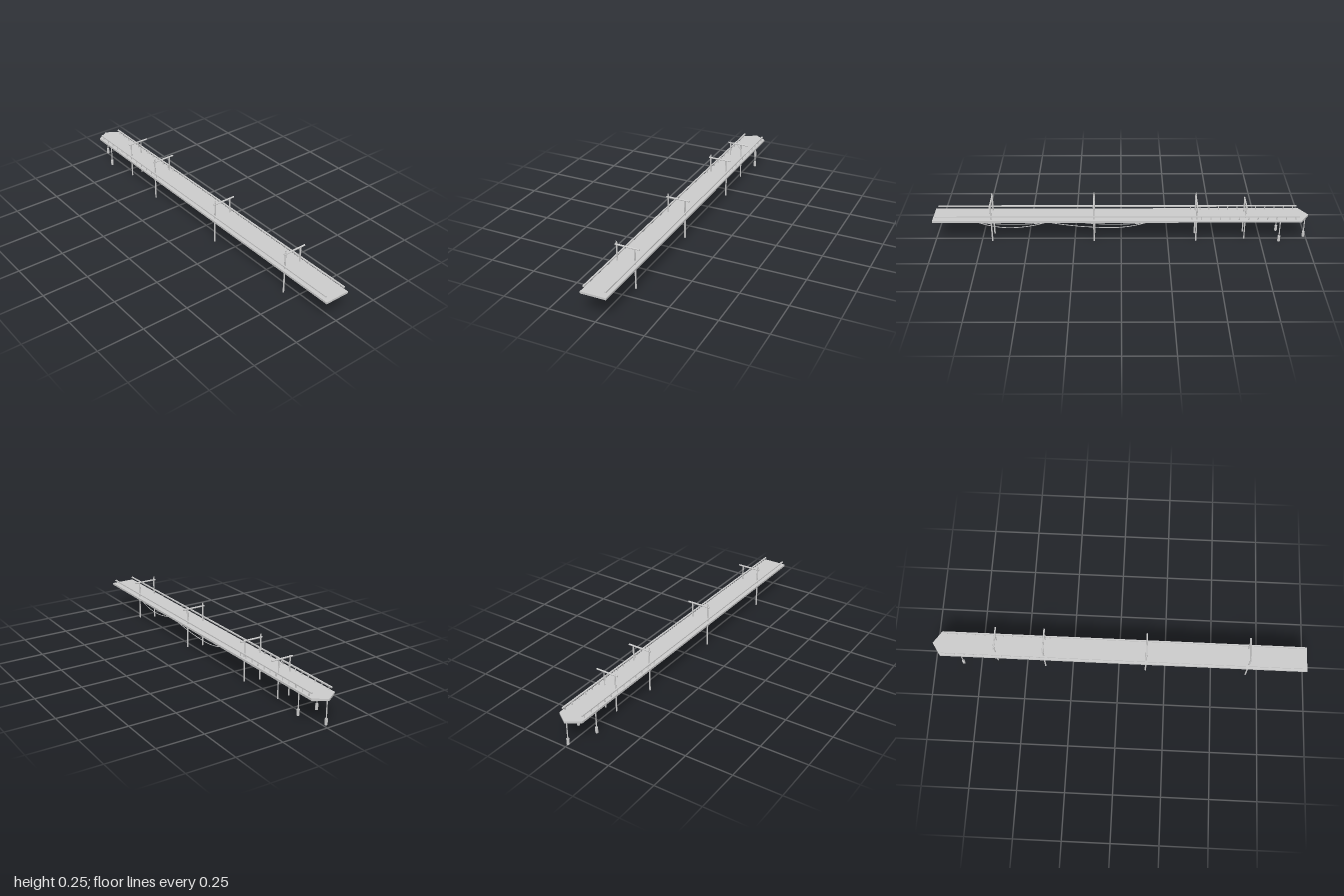
import * as THREE from 'three';

const grey = new THREE.MeshStandardMaterial({ color: 0xcccccc, flatShading: true });
const smooth = new THREE.MeshStandardMaterial({ color: 0xcccccc });
const CX = -0.005; // centre line of the deck

export function createModel() {
  const root = new THREE.Group();
  const V = (x, y, z) => new THREE.Vector3(x, y, z);

  function add(parent, name, geometry, material = grey) {
    const mesh = new THREE.Mesh(geometry, material);
    mesh.name = name;
    parent.add(mesh);
    return mesh;
  }

  // Round pole running between two points
  function pole(parent, name, a, b, r, sides = 10) {
    const mesh = add(parent, name, new THREE.CylinderGeometry(r, r, a.distanceTo(b), sides));
    mesh.position.copy(a).lerp(b, 0.5);
    mesh.quaternion.setFromUnitVectors(V(0, 1, 0), b.clone().sub(a).normalize());
    return mesh;
  }

  // Deck slab with a pointed far end
  const outline = new THREE.Shape([
    [-0.073, -1], [0.062, -1], [0.062, 0.955], [CX, 1], [-0.073, 0.955],
  ].map(([x, y]) => new THREE.Vector2(x, y)));
  const deck = new THREE.ExtrudeGeometry(outline, { depth: 0.011, bevelEnabled: false });
  deck.rotateX(-Math.PI / 2).translate(0, 0.134, 0);
  add(root, 'deck', deck);

  // Handrails with short posts towards the pointed end
  for (const x of [-0.063, 0.051]) {
    const railing = new THREE.Group();
    railing.name = 'railing';
    root.add(railing);
    const rail = add(railing, 'handrail', new THREE.BoxGeometry(0.008, 0.006, 1.93));
    rail.position.set(x, 0.165, 0.02);
    for (let i = 0; i < 12; i++) {
      const z = -0.375 - i * 0.05;
      pole(railing, 'railPost', V(x, 0.14, z), V(x, 0.164, z), 0.0028, 8);
    }
  }

  // Tall frames: the right-hand post rises past the beam and ends in a fork
  for (const z of [0.69, 0.145, -0.4]) {
    const frame = new THREE.Group();
    frame.name = 'tallFrame';
    frame.position.z = z;
    root.add(frame);
    pole(frame, 'tallPost', V(-0.054, 0, 0), V(-0.054, 0.243, 0), 0.0042);
    for (const s of [-1, 1]) {
      pole(frame, 'postFork', V(-0.054 + s * 0.0012, 0.241, 0), V(-0.054 + s * 0.003, 0.25, 0), 0.0015, 6);
    }
    pole(frame, 'shortPost', V(0.043, 0.012, 0), V(0.043, 0.228, 0), 0.0042);
    pole(frame, 'crossBeam', V(-0.063, 0.2305, 0), V(0.069, 0.2305, 0), 0.0045);
  }

  // Low frame with a diagonal brace
  const low = new THREE.Group();
  low.name = 'lowFrame';
  low.position.z = -0.66;
  root.add(low);
  pole(low, 'lowPost', V(-0.04, 0.018, 0), V(-0.04, 0.228, 0), 0.0037);
  pole(low, 'lowPost', V(0.027, 0.015, 0), V(0.027, 0.222, 0), 0.0033);
  pole(low, 'lowBeam', V(-0.054, 0.2225, 0), V(0.069, 0.2225, 0), 0.0042);
  pole(low, 'brace', V(0.002, 0.219, 0), V(0.027, 0.188, 0), 0.0025, 8);

  // Weights hanging on rods under the pointed end
  for (const [x, z, y] of [[-0.063, -0.845, 0.012], [0.047, -0.845, 0.012], [CX, -0.985, 0.009]]) {
    const hanger = new THREE.Group();
    hanger.name = 'hangingWeight';
    root.add(hanger);
    pole(hanger, 'rod', V(x, y + 0.03, z), V(x, 0.138, z), 0.003, 8);
    pole(hanger, 'weight', V(x, y, z), V(x, y + 0.031, z), 0.0075, 10);
  }

  // Slack cables under the deck: start z, lowest z, end z, lowest y, radius
  const cables = [
    [0.97, 0.58, 0.2, 0.085, 0.002], [0.85, 0.6, 0.31, 0.064, 0.002],
    [0.55, 0.05, -0.23, 0.064, 0.002], [0.41, 0.04, -0.38, 0.085, 0.002],
    [-0.45, -0.59, -0.75, 0.097, 0.0012], [-0.5, -0.6, -0.7, 0.108, 0.0012],
    [-0.6, -0.76, -0.9, 0.097, 0.0012], [-0.65, -0.73, -0.85, 0.108, 0.0012],
  ];
  for (const [z0, zm, z1, y, r] of cables) {
    const points = [];
    for (let i = -8; i <= 8; i++) {
      const t = i / 8;
      const z = zm + Math.abs(t) * ((t < 0 ? z0 : z1) - zm);
      points.push(V(CX, y + (0.136 - y) * t * t, z));
    }
    const path = new THREE.CatmullRomCurve3(points);
    add(root, 'cable', new THREE.TubeGeometry(path, 40, r, 6), smooth);
  }

  return root;
}
